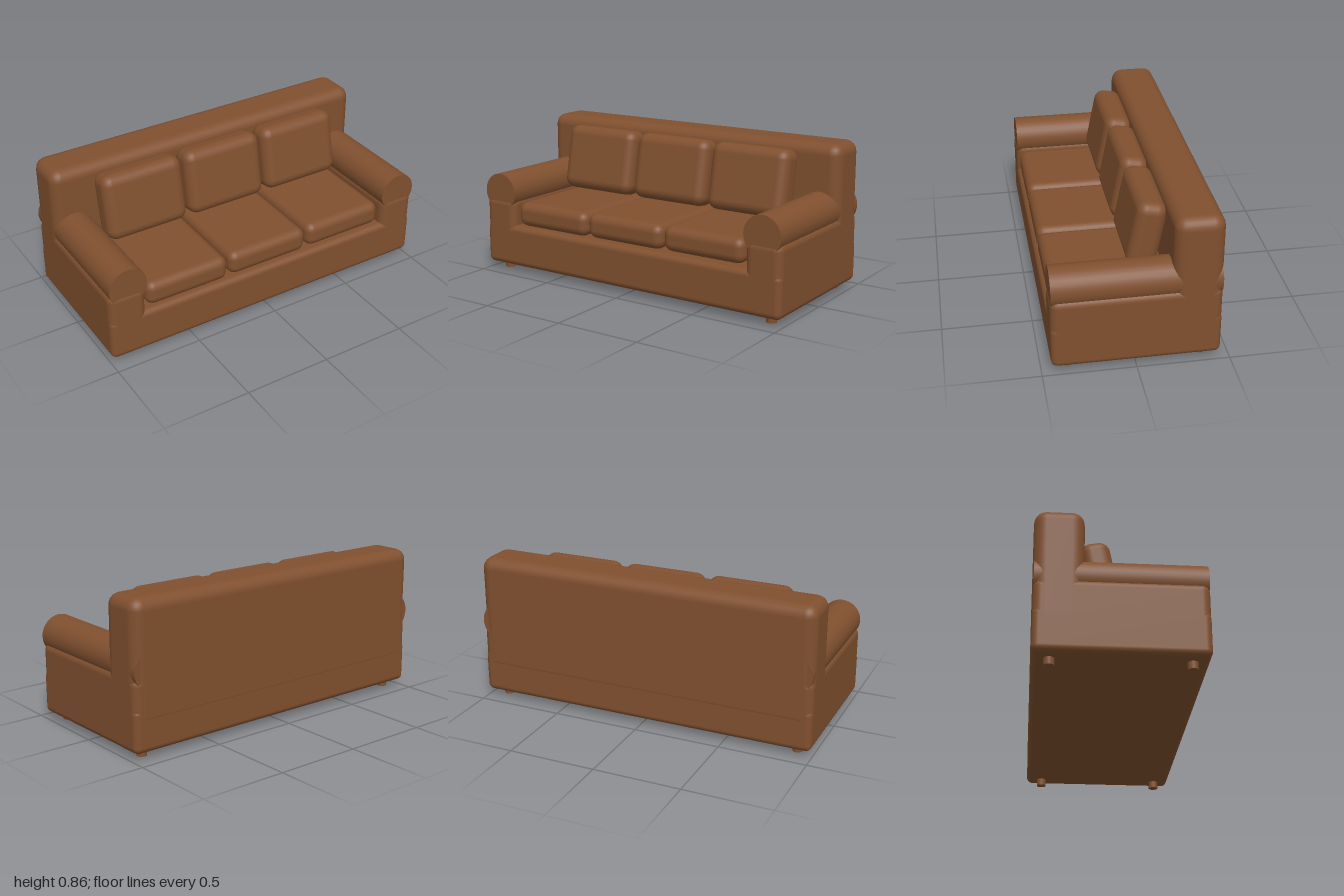
import * as THREE from 'three';
import { RoundedBoxGeometry } from 'three/addons/geometries/RoundedBoxGeometry.js';

export function createModel() {
  const sofa = new THREE.Group();
  sofa.name = 'sofa';
  const leather = new THREE.MeshStandardMaterial({ color: 0x80502f });
  leather.name = 'brown leather';

  const add = (name, geometry, x, y, z) => {
    const mesh = new THREE.Mesh(geometry, leather);
    mesh.name = name;
    mesh.position.set(x, y, z);
    sofa.add(mesh);
    return mesh;
  };
  // Rounded block given by its extents on each axis
  const block = (name, [x0, x1], [y0, y1], [z0, z1], r) =>
    add(name, new RoundedBoxGeometry(x1 - x0, y1 - y0, z1 - z0, 3, r),
      (x0 + x1) / 2, (y0 + y1) / 2, (z0 + z1) / 2);

  // Frame
  block('base', [-1, 1], [0.04, 0.285], [-0.45, 0.45], 0.035);
  block('backrest', [-1, 1], [0.17, 0.857], [-0.452, -0.188], 0.065);

  for (const [side, s] of [['left', 1], ['right', -1]]) {
    // Arm with a round roll on top
    const arm = block(side + 'Arm', [0.785, 1], [0.16, 0.448], [-0.45, 0.45], 0.045);
    arm.position.x *= s;
    const roll = new THREE.CylinderGeometry(0.111, 0.111, 0.89, 32).rotateX(Math.PI / 2);
    add(side + 'ArmRoll', roll, s * 0.887, 0.479, 0);

    // Feet
    for (const [end, z] of [['Front', 0.358], ['Back', -0.358]])
      add(side + end + 'Foot', new THREE.CylinderGeometry(0.028, 0.028, 0.06, 16), s * 0.905, 0.03, z);
  }

  // Three seat cushions and three leaning back cushions
  [-0.517, -0.002, 0.514].forEach((x, i) => {
    const lift = i * 0.004;
    block('seatCushion' + (i + 1), [x - 0.252, x + 0.252], [0.287 + lift, 0.43 + lift], [-0.22, 0.435], 0.05);
    const cushion = add('backCushion' + (i + 1),
      new RoundedBoxGeometry(0.495, 0.385, 0.165, 3, 0.06), x, 0.63, -0.095);
    cushion.rotation.x = -0.19;
  });

  return sofa;
}
